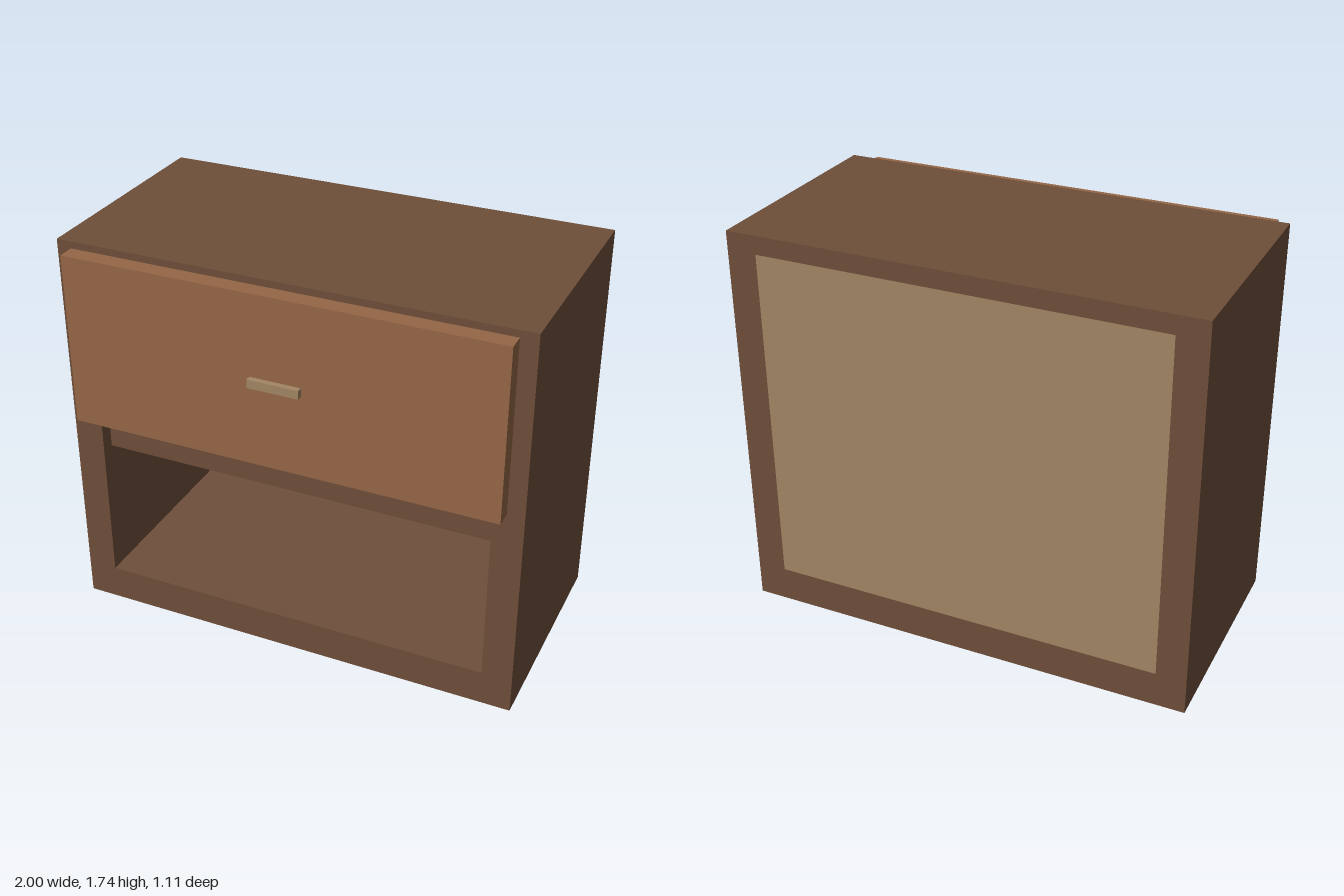
import * as THREE from 'three';

export function createModel() {
  const model = new THREE.Group();
  model.name = 'nightstand';

  const material = (name, color) => {
    const m = new THREE.MeshStandardMaterial({ color });
    m.name = name;
    return m;
  };
  const darkWood = material('dark wood', 0x6f4f3a);
  const warmWood = material('warm wood', 0x966746);
  const paleWood = material('pale wood', 0xa38665);

  // Box given by its minimum and maximum along each axis
  const box = (name, mat, [x0, x1], [y0, y1], [z0, z1], parent = model) => {
    const mesh = new THREE.Mesh(new THREE.BoxGeometry(x1 - x0, y1 - y0, z1 - z0), mat);
    mesh.position.set((x0 + x1) / 2, (y0 + y1) / 2, (z0 + z1) / 2);
    mesh.name = name;
    parent.add(mesh);
    return mesh;
  };

  const back = -0.555, front = 0.445, height = 1.735;
  const inner = 0.87, floorTop = 0.155, ceiling = 1.655, backInside = -0.485;

  // Cabinet frame: one extruded ring, open at front and back
  const outline = new THREE.Shape([
    new THREE.Vector2(-1, 0), new THREE.Vector2(1, 0),
    new THREE.Vector2(1, height), new THREE.Vector2(-1, height),
  ]);
  outline.holes.push(new THREE.Path([
    new THREE.Vector2(-inner, floorTop), new THREE.Vector2(-inner, ceiling),
    new THREE.Vector2(inner, ceiling), new THREE.Vector2(inner, floorTop),
  ]));
  const frame = new THREE.Mesh(
    new THREE.ExtrudeGeometry(outline, { depth: front - back, bevelEnabled: false }), darkWood);
  frame.position.z = back;
  frame.name = 'cabinetFrame';
  model.add(frame);

  // Back panel and recessed middle shelf
  box('backPanel', paleWood, [-inner, inner], [floorTop, ceiling], [back, backInside]);
  box('middleShelf', darkWood, [-inner, inner], [0.77, 0.905], [backInside, 0.385]);

  // Drawer: overlay front, handle and open-topped box
  const drawer = new THREE.Group();
  drawer.name = 'drawer';
  model.add(drawer);
  const boxBack = -0.42, boxFront = 0.455, boxBottom = 0.97, boxTop = 1.57;
  box('drawerFront', warmWood, [-0.93, 0.93], [0.96, 1.71], [boxFront, 0.53], drawer);
  box('drawerHandle', paleWood, [-0.11, 0.11], [1.317, 1.354], [0.53, 0.555], drawer);
  box('drawerBottom', paleWood, [-0.79, 0.79], [boxBottom, 1.02], [boxBack, boxFront], drawer);
  box('drawerBack', paleWood, [-0.79, 0.79], [1.02, boxTop], [boxBack, boxBack + 0.05], drawer);

  // Drawer sides and the runners beneath, mirrored
  for (const [side, s] of [['left', 1], ['right', -1]]) {
    const span = (a, b) => (s > 0 ? [a, b] : [-b, -a]);
    box(side + 'DrawerSide', paleWood, span(0.79, 0.84), [boxBottom, boxTop], [boxBack, boxFront], drawer);
    box(side + 'Runner', paleWood, span(0.425, 0.685), [0.905, boxBottom], [boxBack, 0.36]);
  }

  return model;
}
